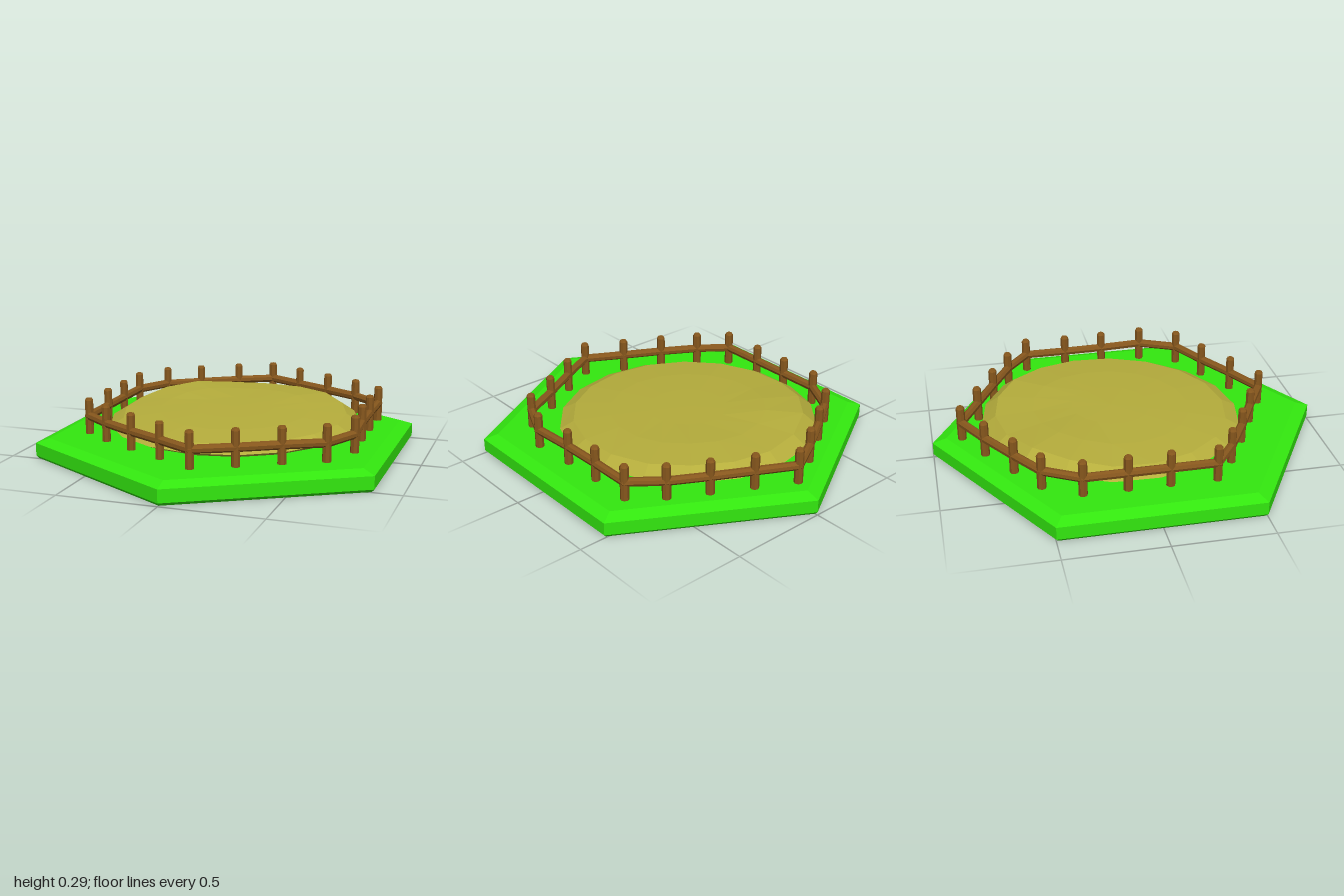
import * as THREE from 'three';

const mat = (color) => new THREE.MeshStandardMaterial({ color, flatShading: true });
const profile = (pts) => pts.map(([r, y]) => new THREE.Vector2(r, y));

// Fence posts in order around the paddock: x, z
const POSTS = [
  [-0.02, -0.85], [0.17, -0.75], [0.36, -0.65], [0.54, -0.55], [0.69, -0.43],
  [0.69, -0.21], [0.695, 0], [0.71, 0.225], [0.62, 0.42], [0.43, 0.52],
  [0.24, 0.63], [0.05, 0.73], [-0.14, 0.625], [-0.33, 0.525], [-0.51, 0.42],
  [-0.655, 0.31], [-0.655, 0.08], [-0.655, -0.125], [-0.655, -0.34],
  [-0.555, -0.52], [-0.39, -0.63], [-0.2, -0.75],
];

// Faceted mound: squashed dome, higher at the back with two low humps
function moundGeometry() {
  const geo = new THREE.LatheGeometry(profile([
    [0.56, 0.09], [0.66, 0.14], [0.59, 0.18], [0.4, 0.193], [0.2, 0.198], [0, 0.2],
  ]), 18);
  const p = geo.attributes.position;
  const hump = (x, z, cx, cz) => Math.exp(-((x - cx) ** 2 + (z - cz) ** 2) / 0.04);
  for (let i = 0; i < p.count; i++) {
    const x = p.getX(i), z = p.getZ(i) - 0.08, y = p.getY(i);
    const k = Math.min(1, Math.max(0, (y - 0.09) / 0.09));
    const rise = -0.03 * z + 0.025 * hump(x, z, -0.41, -0.46) + 0.012 * hump(x, z, 0.3, -0.48);
    p.setXYZ(i, x * 0.99, y + k * rise, (z + 0.08) * 1.01 - 0.08);
  }
  return geo;
}

export function createModel() {
  const model = new THREE.Group();
  const add = (parent, name, geo, material) => {
    const mesh = new THREE.Mesh(geo, material);
    mesh.name = name;
    parent.add(mesh);
    return mesh;
  };

  // Bevelled hexagonal grass tile
  add(model, 'grassTile', new THREE.LatheGeometry(profile([
    [0, 0], [0.985, 0], [1, 0.015], [1, 0.08], [0.93, 0.102], [0, 0.102],
  ]), 6), mat(0x33e80f));

  add(model, 'earthMound', moundGeometry(), mat(0xb5ad3c));

  // Fence: a chamfered post at each point and a rail to the next one
  const fence = new THREE.Group();
  fence.name = 'fence';
  model.add(fence);
  const wood = mat(0x87571d);
  const postGeo = new THREE.LatheGeometry(profile([
    [0, 0.09], [0.022, 0.09], [0.022, 0.276], [0.016, 0.286], [0, 0.286],
  ]), 8);
  const up = new THREE.Vector3(0, 1, 0);
  POSTS.forEach(([x, z], i) => {
    add(fence, 'fencePost', postGeo, wood).position.set(x, 0, z);
    const [nx, nz] = POSTS[(i + 1) % POSTS.length];
    const dir = new THREE.Vector3(nx - x, 0, nz - z);
    const rail = add(fence, 'fenceRail', new THREE.CylinderGeometry(0.022, 0.022, dir.length() + 0.02, 8), wood);
    rail.position.set((x + nx) / 2, 0.194, (z + nz) / 2);
    rail.quaternion.setFromUnitVectors(up, dir.normalize());
  });

  return model;
}
